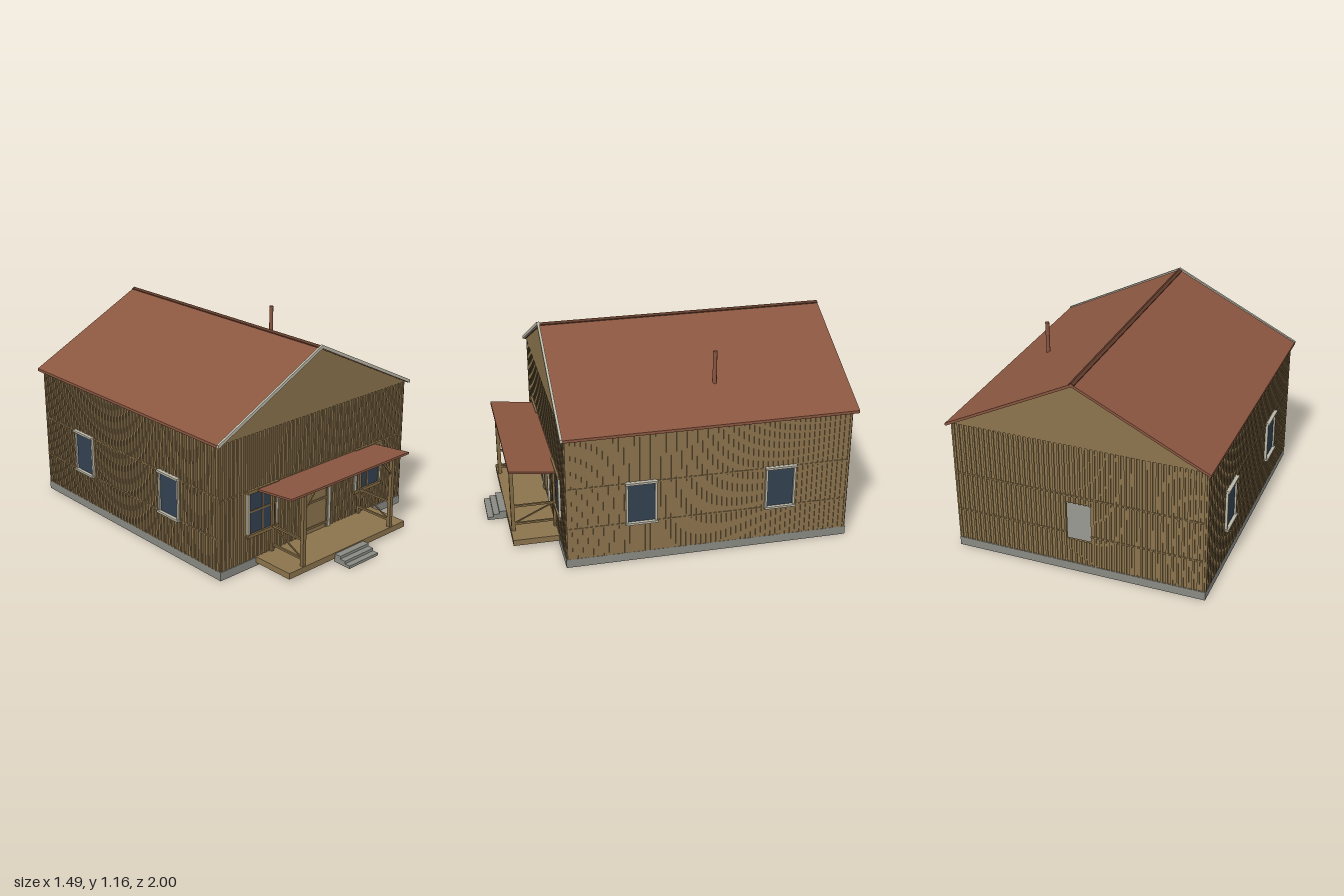
import * as THREE from 'three';

const mat = (name, color, side = THREE.FrontSide) => {
  const m = new THREE.MeshStandardMaterial({ color, side });
  m.name = name;
  return m;
};

export function createModel() {
  const wood = mat('board wood', 0x8b734c, THREE.DoubleSide);
  const timber = mat('timber', 0x826a45);
  const rust = mat('rust roofing', 0x8a5640);
  const ridgeRust = mat('dark rust', 0x5f3a2a);
  const stone = mat('grey stone', 0x8a8a84);
  const trim = mat('pale trim', 0xbcb8a8);
  const glass = mat('dark glass', 0x324150);

  const model = new THREE.Group();
  model.name = 'cabin';
  const group = (name, parent = model) => {
    const g = new THREE.Group();
    g.name = name;
    parent.add(g);
    return g;
  };
  const add = (name, geo, m, parent) => {
    const mesh = new THREE.Mesh(geo, m);
    mesh.name = name;
    parent.add(mesh);
    return mesh;
  };
  // Box given by its extents
  const box = (name, m, parent, x0, x1, y0, y1, z0, z1) => {
    const mesh = add(name, new THREE.BoxGeometry(x1 - x0, y1 - y0, z1 - z0), m, parent);
    mesh.position.set((x0 + x1) / 2, (y0 + y1) / 2, (z0 + z1) / 2);
    return mesh;
  };
  // Square bar between two points
  const bar = (name, m, parent, a, b, w) => {
    const p = new THREE.Vector3(...a), q = new THREE.Vector3(...b);
    const mesh = add(name, new THREE.BoxGeometry(w, w, p.distanceTo(q)), m, parent);
    mesh.position.copy(p).add(q).multiplyScalar(0.5);
    mesh.lookAt(q);
    return mesh;
  };
  // Polygon in x and y, extruded from z0 to z1
  const slab = (name, m, parent, pts, z0, z1, hole) => {
    const s = new THREE.Shape(pts.map(p => new THREE.Vector2(...p)));
    if (hole) s.holes.push(new THREE.Path(hole.map(p => new THREE.Vector2(...p))));
    const mesh = add(name, new THREE.ExtrudeGeometry(s, { depth: z1 - z0, bevelEnabled: false }), m, parent);
    mesh.position.z = z0;
    return mesh;
  };
  const rect = (x0, x1, y0, y1) => [[x0, y0], [x1, y0], [x1, y1], [x0, y1]];

  const W = 0.715, ZF = 0.625, ZB = -0.968, BASE = 0.05, EAVE = 0.785;

  // Foundation
  box('foundation', stone, model, -0.722, 0.722, 0, BASE, -0.975, 0.632);

  // Walls, the back one with an opening
  const walls = group('walls');
  slab('frontWall', wood, walls, rect(-W, W, BASE, EAVE), ZF - 0.01, ZF);
  slab('backWall', wood, walls, rect(-W, W, BASE, EAVE), ZB, ZB + 0.01, rect(-0.075, 0.065, 0.2, 0.43));
  for (const s of [-1, 1]) {
    box('sideWall', wood, walls, s * W - 0.005, s * W + 0.005, BASE, EAVE, ZB, ZF);
  }
  const gable = [[-0.722, 0.782], [0.722, 0.782], [0, 1.142]];
  slab('frontGable', wood, walls, gable, ZF - 0.01, ZF + 0.007);
  slab('backGable', wood, walls, gable, ZB - 0.007, ZB + 0.01);

  // Battens: each wall is a local plane, broken around its openings [u0, u1, v0, v1]
  function battens(name, length, strips, openings) {
    const g = group(name, walls);
    const n = Math.round(length / 0.029);
    for (let i = 0; i <= n; i++) {
      const u = -length / 2 + 0.006 + (i / n) * (length - 0.012);
      const cut = openings.find(o => u > o[0] - 0.006 && u < o[1] + 0.006);
      const spans = cut ? [[BASE, cut[2]], [cut[3], EAVE]] : [[BASE, EAVE]];
      for (const [a, b] of spans) {
        if (b - a > 0.01) box('batten', wood, g, u - 0.006, u + 0.006, a, b, 0, 0.006);
      }
    }
    for (const y of strips) {
      let u = -length / 2;
      for (const o of openings.filter(o => y > o[2] && y < o[3]).concat([[length / 2]])) {
        box('seamStrip', wood, g, u, o[0], y - 0.004, y + 0.004, 0, 0.007);
        u = o[1];
      }
    }
    return g;
  }
  const frontOpen = [[-0.53, -0.31, 0.2, 0.46], [-0.1, 0.1, BASE, 0.43], [0.31, 0.53, 0.2, 0.46]];
  battens('frontBattens', 1.43, [0.462], frontOpen).position.z = ZF;
  const back = battens('backBattens', 1.43, [0.24, 0.475], [[-0.065, 0.075, 0.2, 0.43]]);
  back.position.z = ZB;
  back.rotation.y = Math.PI;
  const midZ = (ZF + ZB) / 2, windowZ = [0.215, -0.57];
  for (const s of [-1, 1]) {
    const open = windowZ.map(z => -s * (z - midZ)).sort((a, b) => a - b)
      .map(u => [u - 0.08, u + 0.08, 0.24, 0.485]);
    const side = battens('sideBattens', ZF - ZB, [0.237, 0.48], open);
    side.position.set(s * (W + 0.004), 0, midZ);
    side.rotation.y = s * Math.PI / 2;
  }

  // Side windows
  for (const s of [-1, 1]) for (const z of windowZ) {
    const g = group('sideWindow');
    g.position.set(s * 0.719, 0, z);
    g.rotation.y = s * Math.PI / 2;
    box('pane', glass, g, -0.078, 0.078, 0.245, 0.48, 0, 0.007);
    for (const k of [-1, 1]) box('casing', trim, g, k * 0.08 - 0.006, k * 0.08 + 0.006, 0.24, 0.485, 0, 0.017);
    for (const y of [0.24, 0.484]) box('sill', trim, g, -0.09, 0.09, y - 0.006, y + 0.006, 0, 0.026);
  }

  // Front windows
  for (const s of [-1, 1]) {
    const g = group('frontWindow');
    g.position.set(s * 0.42, 0, ZF);
    box('pane', glass, g, -0.1, 0.1, 0.2, 0.455, 0, 0.007);
    for (const k of [-1, 1]) {
      box('casing', trim, g, k * 0.106 - 0.006, k * 0.106 + 0.006, 0.19, 0.465, 0, 0.014);
      box('sash', timber, g, k * 0.097 - 0.004, k * 0.097 + 0.004, 0.2, 0.455, 0, 0.012);
    }
    for (const y of [0.198, 0.456]) box('sill', timber, g, -0.115, 0.115, y - 0.01, y + 0.01, 0, 0.018);
    box('crossMuntin', timber, g, -0.1, 0.1, 0.333, 0.343, 0, 0.011);
    box('uprightMuntin', timber, g, -0.005, 0.005, 0.2, 0.455, 0, 0.011);
  }

  // Door
  const door = group('door');
  door.position.z = ZF;
  box('panel', wood, door, -0.09, 0.09, BASE, 0.43, 0, 0.006);
  box('transom', glass, door, -0.085, 0.085, 0.425, 0.436, 0, 0.008);
  for (const s of [-1, 1]) {
    box('jamb', trim, door, s * 0.098 - 0.01, s * 0.098 + 0.01, BASE, 0.435, 0, 0.015);
    box('stile', timber, door, s * 0.083 - 0.006, s * 0.083 + 0.006, BASE, 0.425, 0, 0.01);
  }
  for (const y of [0.086, 0.245, 0.373, 0.43]) box('rail', timber, door, -0.088, 0.088, y - 0.006, y + 0.006, 0, 0.012);

  // Main roof, edge boards, ridge cap and flue
  const roof = group('roof');
  const chevron = (w, yEave, yTop, t) =>
    [[-w, yEave], [-w, yEave - t], [0, yTop - t], [w, yEave - t], [w, yEave], [0, yTop]];
  slab('roofing', rust, roof, chevron(0.743, 0.787, 1.155, 0.016), -1, 0.638);
  slab('bargeBoard', trim, roof, chevron(0.745, 0.793, 1.165, 0.02), 0.636, 0.65);
  slab('ridgeCap', ridgeRust, roof, chevron(0.016, 1.152, 1.16, 0.008), -1, 0.636);
  const flue = add('flue', new THREE.CylinderGeometry(0.012, 0.012, 0.2, 8), rust, roof);
  flue.position.set(0.48, 1, -0.25);

  // Porch deck, steps, roof and posts
  const porch = group('porch');
  box('deck', wood, porch, -0.465, 0.465, 0.02, 0.055, 0.625, 0.89);
  for (let i = 0; i < 3; i++) {
    box('step', stone, porch, -0.115, 0.115, i * 0.016, (i + 1) * 0.016, 0.885, 1 - i * 0.035);
  }
  const porchRoof = box('porchRoof', rust, porch, -0.465, 0.465, -0.006, 0.006, -0.134, 0.134);
  porchRoof.position.set(0, 0.469, 0.764);
  porchRoof.rotation.x = -Math.atan2(0.03, 0.268);
  for (const s of [-1, 1]) {
    const x = s * 0.35;
    box('post', timber, porch, x - 0.011, x + 0.011, 0.055, 0.475, 0.864, 0.886);
    box('wallPost', timber, porch, x - 0.009, x + 0.009, 0.055, 0.45, 0.632, 0.645);
    bar('kneeBrace', timber, porch, [x, 0.38, 0.875], [s * 0.275, 0.465, 0.875], 0.01);
    for (const y of [0.095, 0.208]) box('railing', timber, porch, x - 0.006, x + 0.006, y - 0.006, y + 0.006, 0.636, 0.87);
    bar('railBrace', timber, porch, [x, 0.1, 0.865], [x, 0.205, 0.645], 0.007);
  }
  return model;
}
